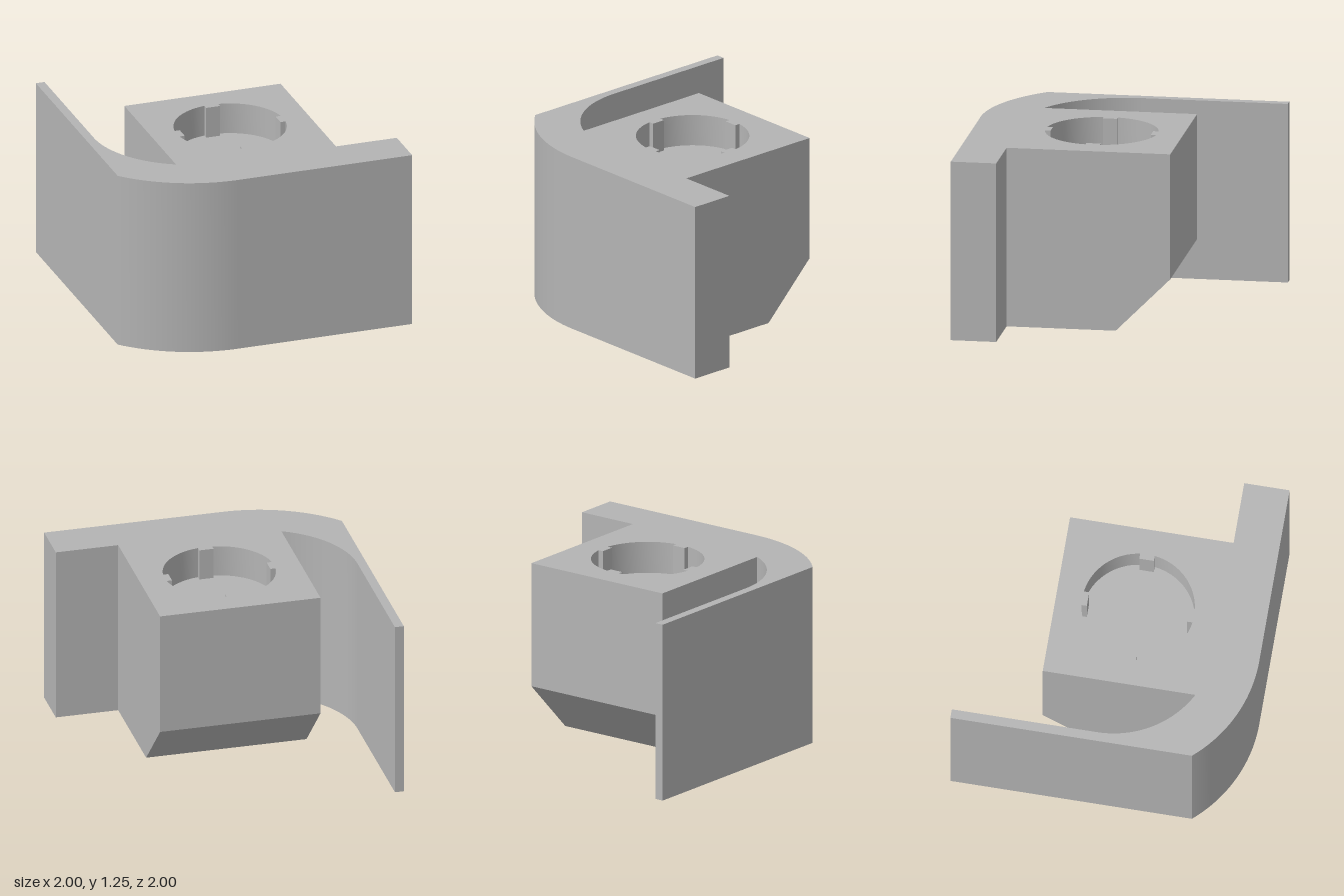
import * as THREE from 'three';
import { toCreasedNormals } from 'three/addons/utils/BufferGeometryUtils.js';

const HEIGHT = 1.25;
const SOCKET_DEPTH = 0.22;
const HALF = 0.5625;      // half width of the block
const BACK = -0.4375;     // rear face of the block
const ARC_X = -0.25;      // shared centre of both corner arcs (z = 0)
const INNER_R = 0.6875;
const JOIN = Math.sqrt(INNER_R ** 2 - (HALF + ARC_X) ** 2); // z where block meets wall

// Extrudes a plan drawn in (x, z) downwards from the given height.
function extrudePlan(shape, top, depth) {
  const g = new THREE.ExtrudeGeometry(shape, { depth, bevelEnabled: false, curveSegments: 32 });
  g.rotateX(Math.PI / 2).translate(0, top, 0);
  return toCreasedNormals(g, 0.4);
}

// Curved corner wall: thin side fin, rounded corner and thick front.
function wallPlan() {
  const s = new THREE.Shape();
  s.moveTo(-1, -1);
  s.lineTo(-0.9375, -1);
  s.lineTo(-0.9375, 0);
  s.absarc(ARC_X, 0, INNER_R, Math.PI, Math.atan2(JOIN, -HALF - ARC_X), true);
  s.lineTo(HALF, JOIN);
  s.lineTo(HALF, 0.6875);
  s.lineTo(1, 0.6875);
  s.lineTo(1, 1);
  s.lineTo(ARC_X, 1);
  s.absarc(ARC_X, 0, 1, Math.PI / 2, Math.atan2(0.6614, -0.75), false);
  s.closePath();
  return s;
}

// Round socket outline with four square keys pointing inwards.
function socketOutline() {
  const r = 0.385, keyR = 0.345, w = 0.05, a = Math.asin(w / r);
  const pts = [];
  for (let q = 0; q < 4; q++) {
    const start = q * Math.PI / 2;
    const c = Math.cos(start), n = Math.sin(start);
    for (const v of [-w, w]) pts.push([keyR * c - v * n, keyR * n + v * c]);
    for (let i = 0; i <= 16; i++) {
      const t = start + a + (Math.PI / 2 - 2 * a) * i / 16;
      pts.push([r * Math.cos(t), r * Math.sin(t)]);
    }
  }
  return new THREE.Path(pts.map(([x, z]) => new THREE.Vector2(x, z + 0.125)));
}

export function createModel() {
  const model = new THREE.Group();
  model.name = 'cornerBracket';
  const grey = new THREE.MeshStandardMaterial({ color: 0xb4b4b4 });
  grey.name = 'light grey';

  const add = (name, geometry) => {
    const mesh = new THREE.Mesh(geometry, grey);
    mesh.name = name;
    model.add(mesh);
  };

  add('cornerWall', extrudePlan(wallPlan(), HEIGHT, HEIGHT));

  // Upper block, pierced by the keyed socket
  const top = new THREE.Shape([
    [-HALF, BACK], [HALF, BACK], [HALF, JOIN], [-HALF, JOIN],
  ].map(([x, z]) => new THREE.Vector2(x, z)));
  top.holes.push(socketOutline());
  add('socketBlock', extrudePlan(top, HEIGHT, SOCKET_DEPTH));

  // Lower block with sloped rear underside; its top is the socket floor
  const floor = HEIGHT - SOCKET_DEPTH;
  const side = new THREE.Shape([
    [JOIN, 0], [JOIN, floor], [BACK, floor], [BACK, 0.375], [-0.0625, 0],
  ].map(([z, y]) => new THREE.Vector2(z, y)));
  const base = new THREE.ExtrudeGeometry(side, { depth: 2 * HALF, bevelEnabled: false });
  base.rotateY(-Math.PI / 2).translate(HALF, 0, 0);
  add('blockBase', base);

  return model;
}
